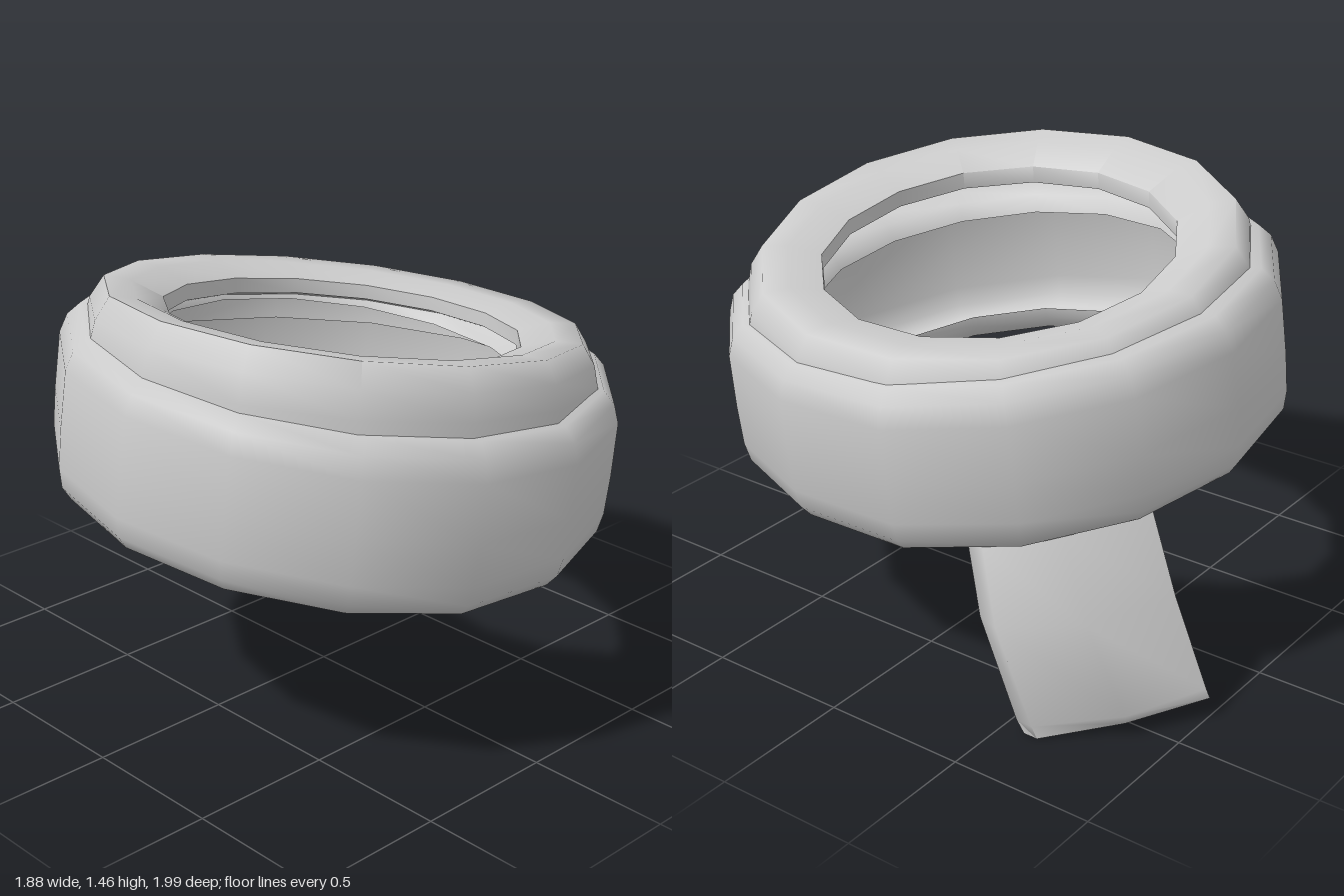
import * as THREE from 'three';
import { toCreasedNormals } from 'three/addons/utils/BufferGeometryUtils.js';

const SIDES = 15;
const PHASE = 0.13;

// Lathe a [radius, height] profile, then let place() tilt every point
function ring(name, profile, place, material) {
  const pts = profile.map(([r, y]) => new THREE.Vector2(r, y));
  const geo = new THREE.LatheGeometry(pts, SIDES, PHASE);
  const pos = geo.attributes.position;
  const v = new THREE.Vector3();
  for (let i = 0; i < pos.count; i++) {
    v.fromBufferAttribute(pos, i);
    place(v);
    pos.setXYZ(i, v.x, v.y, v.z);
  }
  const mesh = new THREE.Mesh(toCreasedNormals(geo, 1.15), material);
  mesh.name = name;
  return mesh;
}

// Skin matching cross-sections and close both ends
function loft(sections) {
  const n = sections[0].length;
  const index = [];
  for (let s = 0; s < sections.length - 1; s++) {
    for (let i = 0; i < n; i++) {
      const a = s * n + i, b = s * n + (i + 1) % n;
      index.push(a, b, a + n, b, b + n, a + n);
    }
  }
  const last = (sections.length - 1) * n;
  for (let i = 1; i < n - 1; i++) {
    index.push(0, i + 1, i, last, last + i, last + i + 1);
  }
  const geo = new THREE.BufferGeometry();
  geo.setAttribute('position', new THREE.Float32BufferAttribute(sections.flat(2), 3));
  geo.setIndex(index);
  return toCreasedNormals(geo, 1.4);
}

export function createModel() {
  const group = new THREE.Group();
  const cloth = new THREE.MeshStandardMaterial({ color: 0xcccccc, side: THREE.DoubleSide });

  // Wide lower wrap: a hollow band, open on the inside; heights run 0..1 between its two tilted rims
  group.add(ring('lowerWrap', [
    [0.635, 0.2], [0.64, 0.13], [0.67, 0.04], [0.77, 0], [0.89, 0.005], [0.922, 0.08],
    [0.935, 0.2], [0.937, 0.45], [0.932, 0.8], [0.91, 0.92], [0.87, 1], [0.76, 1.01],
    [0.67, 0.98], [0.64, 0.88],
  ], (v) => {
    const h = v.y;
    const bottom = Math.max(0.58, 0.65 - 0.105 * v.x - 0.095 * v.z);
    const top = Math.max(1.115, 1.205 - 0.11 * v.x - 0.085 * v.z);
    v.y = bottom + (top - bottom) * h;
    v.x += 0.046 * (h - 0.4);
    v.z = v.z * 1.018 + 0.04 + 0.032 * (h - 0.4);
  }, cloth));

  // Narrow upper wrap, tilted more steeply; heights are measured from its top plane
  group.add(ring('upperWrap', [
    [0.865, -0.27], [0.865, -0.15], [0.845, -0.07], [0.8, 0], [0.71, -0.005],
    [0.6, -0.045], [0.6, -0.1], [0.66, -0.12],
  ], (v) => {
    const h = v.y;
    v.y = 1.33 + h * (1 - 0.2 * v.x) - 0.165 * v.x;
    v.x += 0.035 + 0.1 * (h + 0.05);
    v.z += 0.055;
  }, cloth));

  // Hanging end: inner left, middle, right, then outer right (two), middle, left
  const tail = new THREE.Mesh(loft([
    [[0.28, 0.05, -0.94], [0.47, 0.03, -0.77], [0.6, 0.01, -0.57],
      [0.75, 0, -0.58], [0.75, 0, -0.63], [0.55, 0.03, -0.83], [0.32, 0.07, -1]],
    [[0.28, 0.11, -0.91], [0.47, 0.08, -0.74], [0.6, 0.06, -0.54],
      [0.75, 0.04, -0.55], [0.765, 0.05, -0.62], [0.58, 0.08, -0.85], [0.32, 0.1, -0.985]],
    [[0.25, 0.4, -0.71], [0.44, 0.38, -0.55], [0.57, 0.36, -0.35],
      [0.74, 0.36, -0.4], [0.78, 0.37, -0.49], [0.63, 0.39, -0.73], [0.34, 0.41, -0.87]],
    [[0.21, 0.65, -0.56], [0.41, 0.64, -0.43], [0.54, 0.62, -0.27],
      [0.7, 0.6, -0.32], [0.735, 0.6, -0.41], [0.59, 0.64, -0.61], [0.3, 0.66, -0.75]],
    [[0.18, 0.78, -0.49], [0.39, 0.76, -0.38], [0.51, 0.74, -0.2],
      [0.65, 0.76, -0.25], [0.67, 0.77, -0.33], [0.55, 0.79, -0.53], [0.28, 0.8, -0.66]],
  ]), cloth);
  tail.name = 'hangingEnd';
  group.add(tail);

  return group;
}
